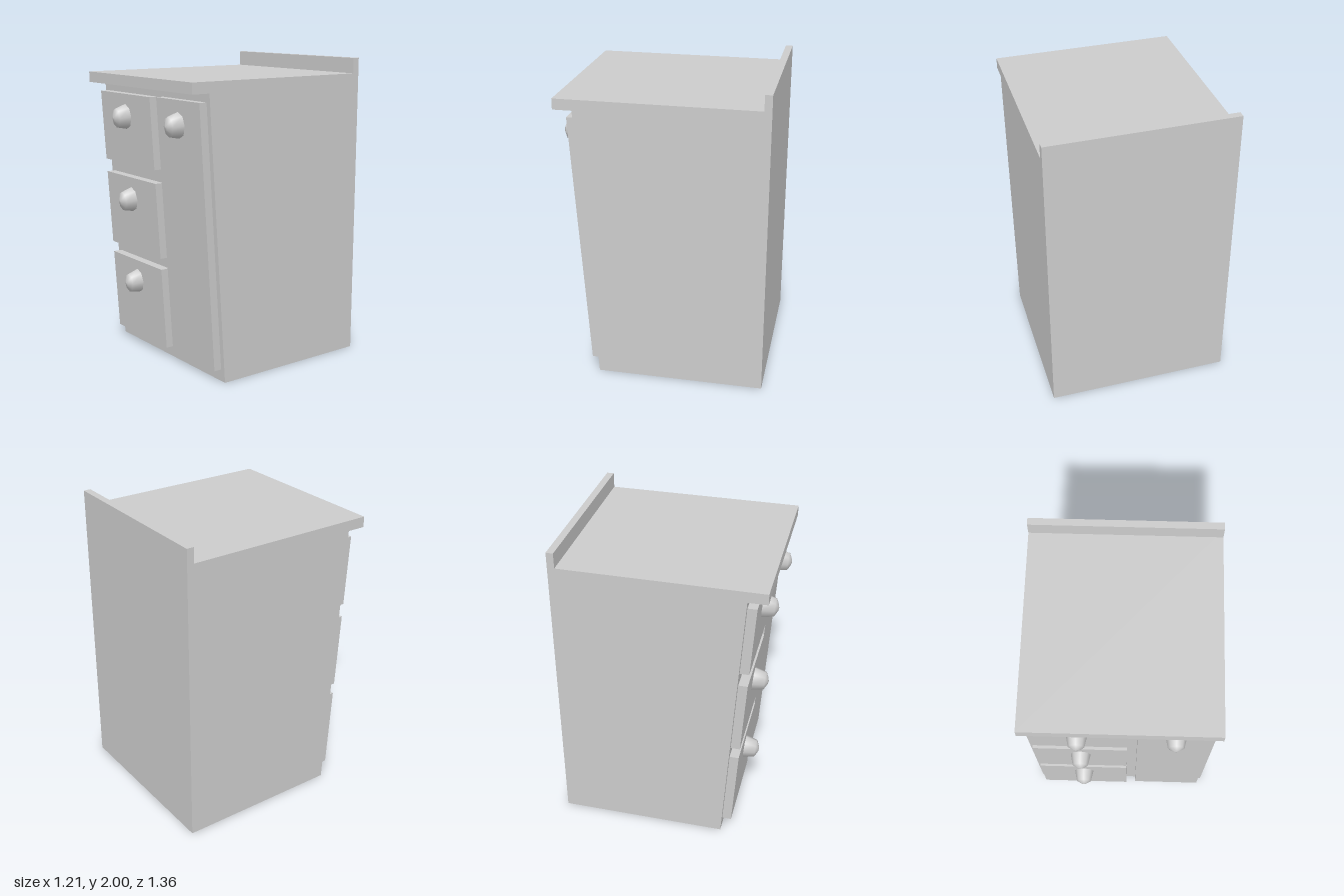
import * as THREE from 'three';

const HALF = 0.605, BACK = -0.68, TOP = 1.83;
const SLOPE = 0.0635;                       // the front leans forward with height
const frontZ = (y) => 0.42 + SLOPE * y;

const grey = new THREE.MeshStandardMaterial({ color: 0xcccccc });
const thin = new THREE.MeshStandardMaterial({ color: 0xcccccc, side: THREE.DoubleSide });

// Side outline in the z-y plane, with its front following the slanted face
function sideShape(y0, y1, back, out) {
  return new THREE.Shape([
    new THREE.Vector2(back, y0),
    new THREE.Vector2(frontZ(y0) + out, y0),
    new THREE.Vector2(frontZ(y1) + out, y1),
    new THREE.Vector2(back, y1),
  ]);
}

function add(parent, name, geometry, material = grey) {
  const mesh = new THREE.Mesh(geometry, material);
  mesh.name = name;
  parent.add(mesh);
  return mesh;
}

// Solid between x0 and x1 with a slanted front
function slantedBox(x0, x1, y0, y1, out) {
  const g = new THREE.ExtrudeGeometry(sideShape(y0, y1, -0.66, out), {
    depth: x1 - x0, bevelEnabled: false,
  });
  return g.rotateY(-Math.PI / 2).translate(x1, 0, 0);
}

function slab(y0, y1, z0, z1) {
  return new THREE.BoxGeometry(2 * HALF, y1 - y0, z1 - z0)
    .translate(0, (y0 + y1) / 2, (z0 + z1) / 2);
}

// Eight-sided domed knob, standing square on the slanted front
const knobProfile = [[0.083, -0.012], [0.083, 0], [0.063, 0.075], [0.021, 0.094], [0, 0.098]]
  .map(([r, h]) => new THREE.Vector2(r, h));
function knobGeometry() {
  return new THREE.LatheGeometry(knobProfile, 8)
    .rotateX(Math.PI / 2)
    .scale(0.8, 1, 1)
    .rotateX(Math.atan(SLOPE));
}

export function createModel() {
  const model = new THREE.Group();
  model.name = 'cabinet';

  // Thin-walled carcass, open underneath
  const carcass = new THREE.Group();
  carcass.name = 'carcass';
  model.add(carcass);
  for (const [name, x] of [['leftSide', HALF], ['rightSide', -HALF]]) {
    const g = new THREE.ShapeGeometry(sideShape(0, TOP, BACK, 0));
    add(carcass, name, g.rotateY(-Math.PI / 2).translate(x, 0, 0), thin);
  }
  add(carcass, 'backPanel',
    new THREE.PlaneGeometry(2 * HALF, TOP).rotateY(Math.PI).translate(0, TOP / 2, BACK), thin);
  add(carcass, 'frontFrame',
    new THREE.PlaneGeometry(2 * HALF, TOP * Math.hypot(1, SLOPE))
      .rotateX(Math.atan(SLOPE)).translate(0, TOP / 2, frontZ(TOP / 2)), thin);

  // Worktop and upstand
  add(model, 'worktop', slab(TOP, 1.9, BACK, 0.66));
  add(model, 'backsplash', slab(1.9, 2, BACK, -0.633));

  // Drawers and tall door, each with a knob
  const fronts = [
    { name: 'topDrawer', x: [-0.57, 0.04], y: [1.3, 1.77], out: 0.06, knobY: 1.62 },
    { name: 'middleDrawer', x: [-0.57, 0.04], y: [0.705, 1.21], out: 0.06, knobY: 1.06 },
    { name: 'bottomDrawer', x: [-0.57, 0.04], y: [0.08, 0.63], out: 0.06, knobY: 0.485 },
    { name: 'door', x: [0.105, 0.57], y: [0.08, 1.775], out: 0.052, knobY: 1.62 },
  ];
  for (const { name, x, y, out, knobY } of fronts) {
    const unit = new THREE.Group();
    unit.name = name;
    add(unit, name + 'Body', slantedBox(x[0], x[1], y[0], y[1], out));
    const knob = add(unit, name + 'Knob', knobGeometry());
    knob.position.set((x[0] + x[1]) / 2, knobY, frontZ(knobY) + out);
    model.add(unit);
  }
  return model;
}
